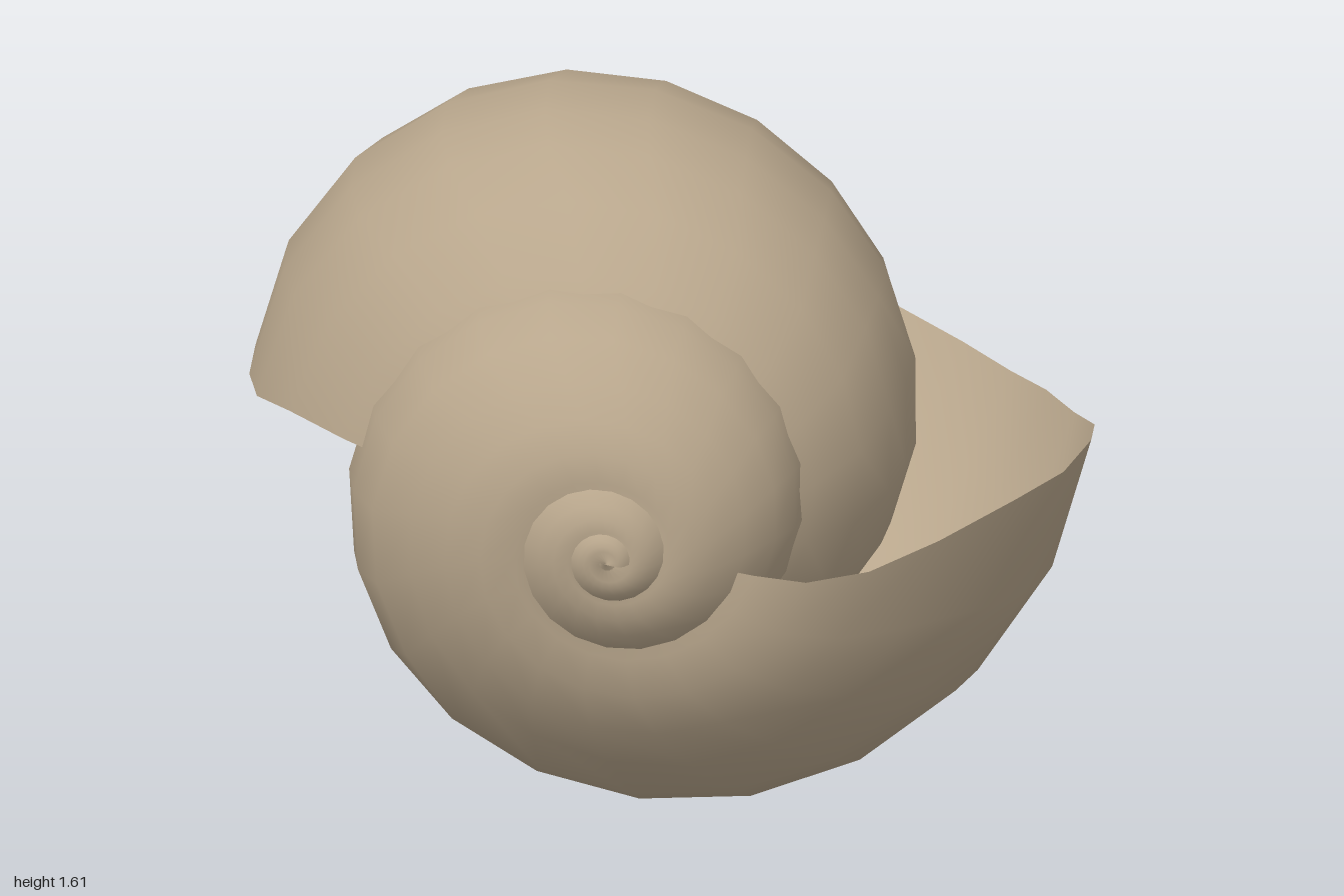
import * as THREE from 'three';

// Mouth outline of the shell: x, z and y offset from the coiling axis
const LIP = [
  [0.3, 0.87, -0.06], [0.42, 0.85, -0.08], [0.56, 0.79, -0.07], [0.71, 0.68, -0.03],
  [0.87, 0.53, 0.02], [0.96, 0.35, 0.02], [1, 0.15, 0.02], [0.985, -0.04, -0.02],
  [0.92, -0.18, -0.05], [0.83, -0.38, -0.08], [0.73, -0.53, -0.1], [0.6, -0.67, -0.09],
  [0.42, -0.81, -0.06], [0.18, -0.95, -0.02], [-0.02, -0.98, 0], [-0.19, -1, 0],
  [-0.37, -0.975, 0], [-0.71, -0.77, 0], [-0.87, -0.6, 0], [-0.95, -0.45, 0],
  [-1, -0.26, -0.01], [-0.99, -0.06, 0], [-0.95, 0.12, 0.02], [-0.85, 0.32, 0.07],
  [-0.7, 0.5, 0.08], [-0.5, 0.66, 0.07], [-0.25, 0.78, 0.03], [0.03, 0.86, -0.02],
];
const APEX = new THREE.Vector3(-0.03, 0.83, 1);
const HALF_TURN_SCALE = 0.645;
const STEPS_PER_TURN = 20;
const TURNS = 3;

// Sweep the mouth back to the apex, turning about z and shrinking steadily
function coilGeometry() {
  const rings = STEPS_PER_TURN * TURNS;
  const n = LIP.length;
  const positions = [];
  const index = [];
  const p = new THREE.Vector3();
  const axis = new THREE.Vector3(0, 0, 1);
  for (let i = 0; i <= rings; i++) {
    const angle = (i / STEPS_PER_TURN) * Math.PI * 2;
    const scale = Math.pow(HALF_TURN_SCALE, angle / Math.PI);
    for (const [x, z, dy] of LIP) {
      p.set(x - APEX.x, dy, z - APEX.z).applyAxisAngle(axis, -angle);
      p.multiplyScalar(scale).add(APEX);
      positions.push(p.x, p.y, p.z);
    }
  }
  for (let i = 0; i < rings; i++) {
    for (let j = 0; j < n; j++) {
      const a = i * n + j;
      const b = i * n + ((j + 1) % n);
      index.push(a, a + n, b, b, a + n, b + n);
    }
  }
  const g = new THREE.BufferGeometry();
  g.setAttribute('position', new THREE.Float32BufferAttribute(positions, 3));
  g.setIndex(index);
  g.computeVertexNormals();
  return g;
}

export function createModel() {
  const group = new THREE.Group();
  group.name = 'snailShell';
  const shellTan = new THREE.MeshStandardMaterial({ color: 0xb8a68c, side: THREE.DoubleSide });
  shellTan.name = 'shellTan';

  // Coiled shell wall
  const whorls = new THREE.Mesh(coilGeometry(), shellTan);
  whorls.name = 'whorls';
  group.add(whorls);
  return group;
}
